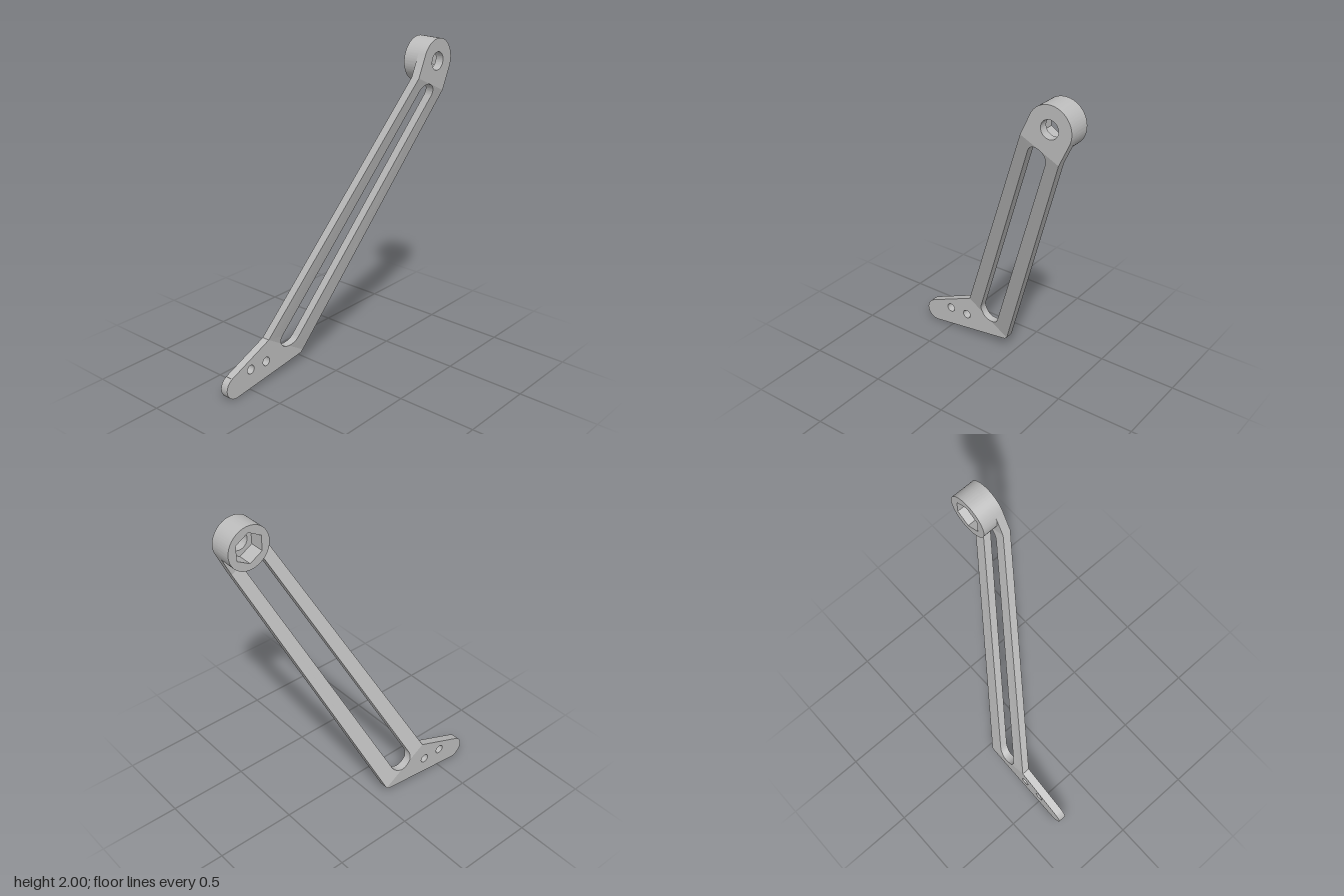
import * as THREE from 'three';
import { toCreasedNormals } from 'three/addons/utils/BufferGeometryUtils.js';

// Side profile uses u = -z and v = y; extrusion runs along +x.
const T = 0.05, X_FOOT = -0.28, X_HEAD = 0.23;
const HUB = [0.56, 1.87], HUB_R = 0.13;
// Bend lines across the arm, each from front edge to back edge
const LOW = [-0.345, 0.27, -0.05, 0.085];
const HIGH = [0.385, 1.80, 0.62, 1.69];

// Signed distance to a bend line, positive towards the head
function side([au, av, bu, bv], u, v) {
  const du = bu - au, dv = bv - av;
  return (du * (v - av) - dv * (u - au)) / Math.hypot(du, dv);
}

function circle(u, v, r) {
  return new THREE.Path().absarc(u, v, r, 0, Math.PI * 2, true);
}

// Split every triangle that crosses a bend line
function slice(tris, line) {
  const out = [];
  for (const tri of tris) {
    const d = tri.map(p => {
      const s = side(line, p.x, p.y);
      return Math.abs(s) < 1e-5 ? 0 : s;
    });
    for (const sign of [1, -1]) {
      const poly = [];
      for (let i = 0; i < 3; i++) {
        const j = (i + 1) % 3;
        if (d[i] * sign >= 0) poly.push(tri[i]);
        if (d[i] * d[j] < 0) poly.push(tri[i].clone().lerp(tri[j], d[i] / (d[i] - d[j])));
      }
      if (!d.some(s => s * sign > 0)) continue;
      for (let i = 2; i < poly.length; i++) out.push([poly[0], poly[i - 1], poly[i]]);
    }
  }
  return out;
}

// Flat plate cut at the bend lines, then shifted sideways to follow the bends
function bentPlate(shape) {
  const flat = new THREE.ExtrudeGeometry(shape, { depth: T, bevelEnabled: false, curveSegments: 32 });
  const src = flat.index ? flat.toNonIndexed() : flat;
  const pos = src.attributes.position;
  let tris = [];
  for (let i = 0; i < pos.count; i += 3) {
    tris.push([0, 1, 2].map(k => new THREE.Vector3().fromBufferAttribute(pos, i + k)));
  }
  tris = slice(slice(tris, LOW), HIGH);
  const pts = tris.flat().map(p => {
    const a = side(LOW, p.x, p.y), b = -side(HIGH, p.x, p.y);
    const t = a <= 0 ? 0 : b <= 0 ? 1 : a / (a + b);
    return new THREE.Vector3(X_FOOT + (X_HEAD - X_FOOT) * t + p.z, p.y, -p.x);
  });
  return toCreasedNormals(new THREE.BufferGeometry().setFromPoints(pts), 0.25);
}

export function createModel() {
  const group = new THREE.Group();
  const metal = new THREE.MeshStandardMaterial({ color: 0xbcbcbc });
  metal.name = 'light grey';

  // Lever outline: toe, heel, back edge, rounded head, front edge
  const outline = new THREE.Shape();
  outline.moveTo(-0.345, 0.27);
  outline.lineTo(-0.652, 0.139);
  outline.absarc(-0.623, 0.072, 0.072, 1.98, Math.PI * 1.5 + 0.13, false);
  outline.lineTo(-0.075, 0.07);
  outline.quadraticCurveTo(-0.055, 0.073, -0.045, 0.095);
  outline.lineTo(0.62, 1.69);
  outline.absarc(HUB[0], HUB[1], HUB_R, -0.39, 2.696, false);
  outline.lineTo(0.385, 1.80);
  outline.closePath();

  // Long tapered slot, shaft hole and two foot holes
  const slot = new THREE.Path();
  slot.absarc(-0.175, 0.235, 0.072, 2.71, Math.PI * 2 - 0.41, false);
  slot.absarc(0.475, 1.69, 0.06, -0.41, 2.71, false);
  slot.closePath();
  outline.holes.push(slot, circle(...HUB, 0.053), circle(-0.5, 0.137, 0.028), circle(-0.37, 0.137, 0.028));

  const lever = new THREE.Mesh(bentPlate(outline), metal);
  lever.name = 'bentLever';
  group.add(lever);

  // Round boss on the inner side with a hexagonal socket
  const ring = new THREE.Shape().absarc(0, 0, HUB_R, 0, Math.PI * 2, false);
  const hex = [];
  for (let i = 0; i < 6; i++) {
    const a = Math.PI / 2 - i * Math.PI / 3;
    hex.push(new THREE.Vector2(Math.cos(a) * 0.092, Math.sin(a) * 0.092));
  }
  ring.holes.push(new THREE.Path(hex).closePath() || new THREE.Path(hex));
  const bossGeo = new THREE.ExtrudeGeometry(ring, { depth: 0.09, bevelEnabled: false, curveSegments: 64 });
  bossGeo.rotateY(Math.PI / 2);
  const boss = new THREE.Mesh(toCreasedNormals(bossGeo, 0.5), metal);
  boss.name = 'socketBoss';
  boss.position.set(0.14, HUB[1], -HUB[0]);
  group.add(boss);

  return group;
}
